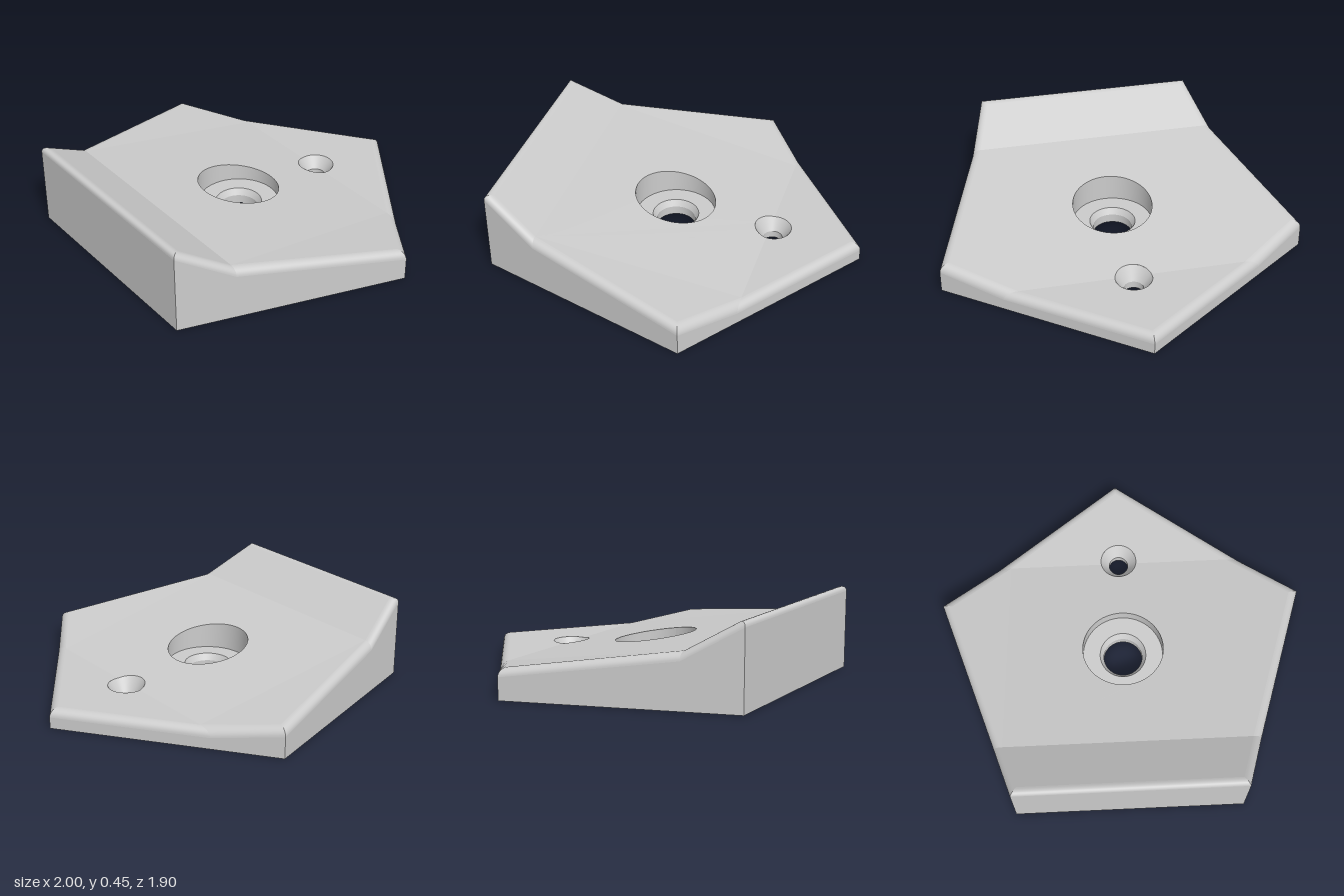
import * as THREE from 'three';
import { mergeGeometries } from 'three/addons/utils/BufferGeometryUtils.js';

const ZC = 0.1, R = 1.0515, APOTHEM = 0.851;  // pentagon plan
const FILLET = 0.045;
const Z_BACK = -0.449, Z_FRONT = 0.652;       // creases across the top
const BORE = { z: 0.095, r: 0.222 }, SCREW = { z: -0.465, r: 0.1 };
const SEG = 64;

// Pentagon outline inset by d, with extra points where the creases cross it
function ring(d) {
  const s = R * (1 - d / APOTHEM);
  const c = [0, 1, 2, 3, 4].map(i => {
    const a = i * Math.PI * 0.4;
    return [-s * Math.sin(a), ZC - s * Math.cos(a)];
  });
  const cross = (a, b, z) => [a[0] + (b[0] - a[0]) * (z - a[1]) / (b[1] - a[1]), z];
  return [c[0], cross(c[0], c[1], Z_BACK), c[1], cross(c[1], c[2], Z_FRONT), c[2],
    c[3], cross(c[3], c[4], Z_FRONT), c[4], cross(c[4], c[0], Z_BACK)];
}
const inner = ring(FILLET);

// Height of the top: flat back, gentle ramp with slightly raised sides, steep front lip
function height(x, z) {
  if (z <= Z_BACK) return 0.107;
  if (z >= Z_FRONT) return 0.294 + 0.6 * (z - Z_FRONT);
  const fold = t => {
    const k = (t - Z_BACK) / (Z_FRONT - Z_BACK);
    return -inner[8][0] + (inner[8][0] - inner[6][0]) * k;
  };
  const out = (-Math.abs(x) - fold(z)) / (inner[2][0] - fold(inner[2][1]));
  return 0.107 + 0.17 * (z - Z_BACK) + 0.017 * Math.max(0, out);
}

// Smooth grid of points p(i, j)
function grid(p, nu, nv) {
  const pos = [], index = [];
  for (let i = 0; i <= nu; i++) for (let j = 0; j <= nv; j++) pos.push(...p(i, j));
  for (let i = 0; i < nu; i++) for (let j = 0; j < nv; j++) {
    const a = i * (nv + 1) + j, b = a + nv + 1;
    index.push(a, a + 1, b, b, a + 1, b + 1);
  }
  const g = new THREE.BufferGeometry();
  g.setAttribute('position', new THREE.Float32BufferAttribute(pos, 3));
  g.setIndex(index);
  g.computeVertexNormals();
  return g;
}

const arc = (hole, a0, a1, n = SEG) => Array.from({ length: n + 1 }, (_, i) => {
  const a = a0 + (a1 - a0) * i / n;
  return [hole.r * Math.cos(a), hole.z + hole.r * Math.sin(a)];
});

// Flat region in plan, lifted to the height y(x, z)
function region(points, holes, y, down = false) {
  const v = pts => pts.map(([x, z]) => new THREE.Vector2(x, -z));
  const shape = new THREE.Shape(v(points));
  holes.forEach(h => shape.holes.push(new THREE.Path(v(arc(h, 0, Math.PI * 2).slice(0, -1)))));
  let g = new THREE.ShapeGeometry(shape);
  const p = g.attributes.position;
  for (let i = 0; i < p.count; i++) {
    const x = p.getX(i), z = -p.getY(i);
    p.setXYZ(i, x, y(x, z), z);
  }
  if (down) g.index.array.reverse();
  g.deleteAttribute('uv');
  g.computeVertexNormals();
  return g;
}

// Hole lining from [radius, y] rows; y null follows the top surface
function lining(zc, rows) {
  const bands = [];
  for (let k = 0; k + 1 < rows.length; k++) {
    bands.push(grid((i, j) => {
      const [r, y] = rows[k + j], a = i / SEG * Math.PI * 2;
      const x = r * Math.cos(a), z = zc + r * Math.sin(a);
      return [x, y === null ? height(x, z) : y, z];
    }, SEG, 1));
  }
  return mergeGeometries(bands);
}

export function createModel() {
  const group = new THREE.Group();
  const material = new THREE.MeshStandardMaterial({ color: 0xcccccc, side: THREE.DoubleSide });
  const add = (name, geometry) => {
    const mesh = new THREE.Mesh(geometry, material);
    mesh.name = name;
    group.add(mesh);
  };

  // Top faces, split at the creases; the small hole straddles the back crease
  const I = inner, a0 = Math.asin((Z_BACK - SCREW.z) / SCREW.r);
  add('topSurface', mergeGeometries([
    region([I[3], I[4], I[5], I[6]], [], height),
    region([I[1], I[3], I[6], I[8], ...arc(SCREW, a0, Math.PI - a0)], [BORE], height),
    region([I[1], I[2], I[3]], [], height),
    region([I[6], I[7], I[8]], [], height),
    region([I[8], I[0], I[1], ...arc(SCREW, Math.PI - a0, 2 * Math.PI + a0)], [], height),
  ]));

  // Rounded rim and upright walls, one piece per outline segment
  const steps = 8, rings = [], drops = [];
  for (let j = 0; j <= steps; j++) {
    const t = j / steps * Math.PI / 2;
    rings.push(ring(FILLET * (1 - Math.sin(t))));
    drops.push(FILLET * (1 - Math.cos(t)));
  }
  const rim = [], walls = [];
  for (let k = 0; k < 9; k++) {
    const point = (i, j) => {
      const [x, z] = rings[j][(k + i) % 9];
      return [x, height(x, z) - drops[j], z];
    };
    rim.push(grid(point, 1, steps));
    walls.push(grid((i, j) => {
      const [x, y, z] = point(i, steps);
      return [x, j ? 0 : y, z];
    }, 1, 1));
  }
  add('roundedRim', mergeGeometries(rim));
  add('sideWalls', mergeGeometries(walls));

  // Counterbored centre hole and countersunk screw hole
  add('centreHole', lining(BORE.z, [[BORE.r, null], [BORE.r, 0.085], [0.128, 0.085], [0.107, 0.05], [0.107, 0]]));
  add('screwHole', lining(SCREW.z, [[SCREW.r, null], [0.053, 0.04], [0.053, 0]]));

  // Underside
  add('underside', region(ring(0), [{ z: BORE.z, r: 0.107 }, { z: SCREW.z, r: 0.053 }], () => 0, true));
  return group;
}
